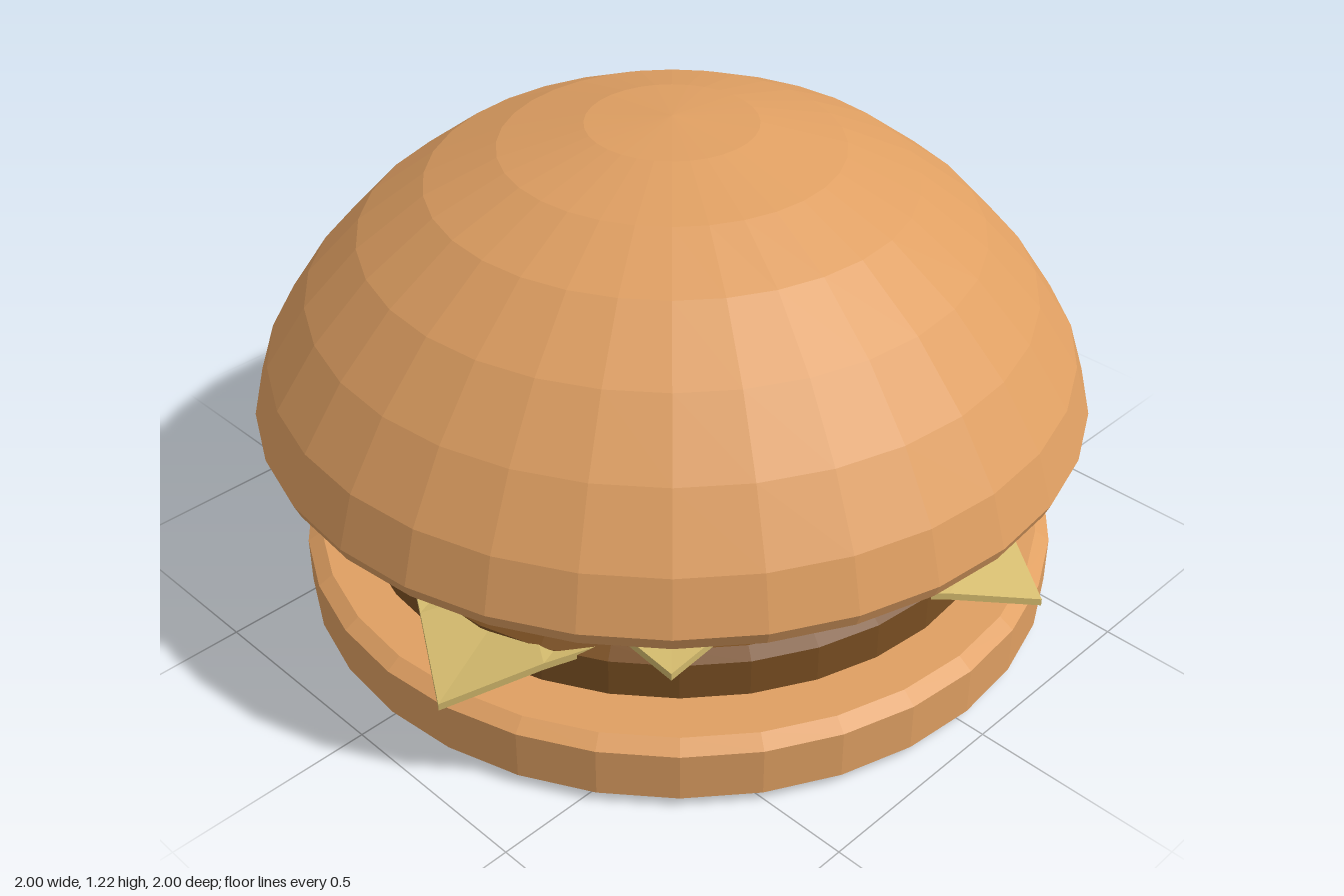
import * as THREE from 'three';

const mat = (color) => new THREE.MeshStandardMaterial({ color, flatShading: true });
const bun = mat(0xdf9f62);
const meat = mat(0x7a4f22);
const cheese = mat(0xd2b96c);
const tomato = mat(0xb83c30);

// Lathed part from [radius, height] pairs, bottom to top
function turned(name, profile, material, x = 0, z = 0, sides = 32) {
  const points = profile.map(([r, y]) => new THREE.Vector2(r, y));
  const mesh = new THREE.Mesh(new THREE.LatheGeometry(points, sides), material);
  mesh.name = name;
  mesh.position.set(x, 0, z);
  return mesh;
}

// Round slab with bevelled rims
function slab(name, r, y0, y1, bevel, material, x, z, sides) {
  const h = bevel * 0.7;
  return turned(name, [[0, y0], [r - bevel, y0], [r, y0 + h], [r, y1 - h], [r - bevel, y1], [0, y1]],
    material, x, z, sides);
}

// Thin square slice; each corner sags by its own amount beyond a diagonal fold
function cheeseSlice(name, y, turn, drops) {
  const size = 1.41;
  const geometry = new THREE.BoxGeometry(size, 0.018, size, 6, 1, 6);
  const p = geometry.attributes.position;
  for (let i = 0; i < p.count; i++) {
    const x = p.getX(i), z = p.getZ(i);
    const along = (Math.abs(x) + Math.abs(z)) / size;
    const bend = Math.max(0, (along - 0.66) / 0.34) ** 1.3;
    const drop = drops[(x > 0 ? 1 : 0) + (z > 0 ? 2 : 0)];
    p.setY(i, p.getY(i) - drop * bend);
  }
  geometry.computeVertexNormals();
  const mesh = new THREE.Mesh(geometry, cheese);
  mesh.name = name;
  mesh.position.set(0.015, y, -0.018);
  mesh.rotation.y = turn;
  return mesh;
}

export function createModel() {
  const group = new THREE.Group();
  group.name = 'burger';

  // Buns
  group.add(slab('bottomBun', 0.932, 0, 0.17, 0.035, bun, 0.013, 0.01));
  group.add(turned('topBun', [
    [0, 0.5], [0.985, 0.5], [1, 0.535], [0.96, 0.66], [0.86, 0.81], [0.73, 0.95],
    [0.57, 1.07], [0.4, 1.148], [0.2, 1.2], [0, 1.215],
  ], bun));

  // Patties
  group.add(slab('lowerPatty', 0.797, 0.17, 0.305, 0.03, meat, 0.013, 0.01));
  group.add(slab('upperPatty', 0.797, 0.32, 0.458, 0.03, meat, 0.013, 0.01));

  // Cheese: drops for corners (-x,-z), (+x,-z), (-x,+z), (+x,+z)
  group.add(cheeseSlice('lowerCheese', 0.314, -0.53, [0, 0.045, 0.11, 0.115]));
  group.add(cheeseSlice('upperCheese', 0.464, 0, [0, 0.125, 0.05, 0.035]));

  // Three tomato slices
  [[0.385, 0.05], [-0.195, 0.375], [-0.185, -0.28]].forEach(([x, z], i) => {
    group.add(slab('tomatoSlice' + (i + 1), 0.32, 0.465, 0.505, 0.005, tomato, x, z, 24));
  });

  return group;
}
